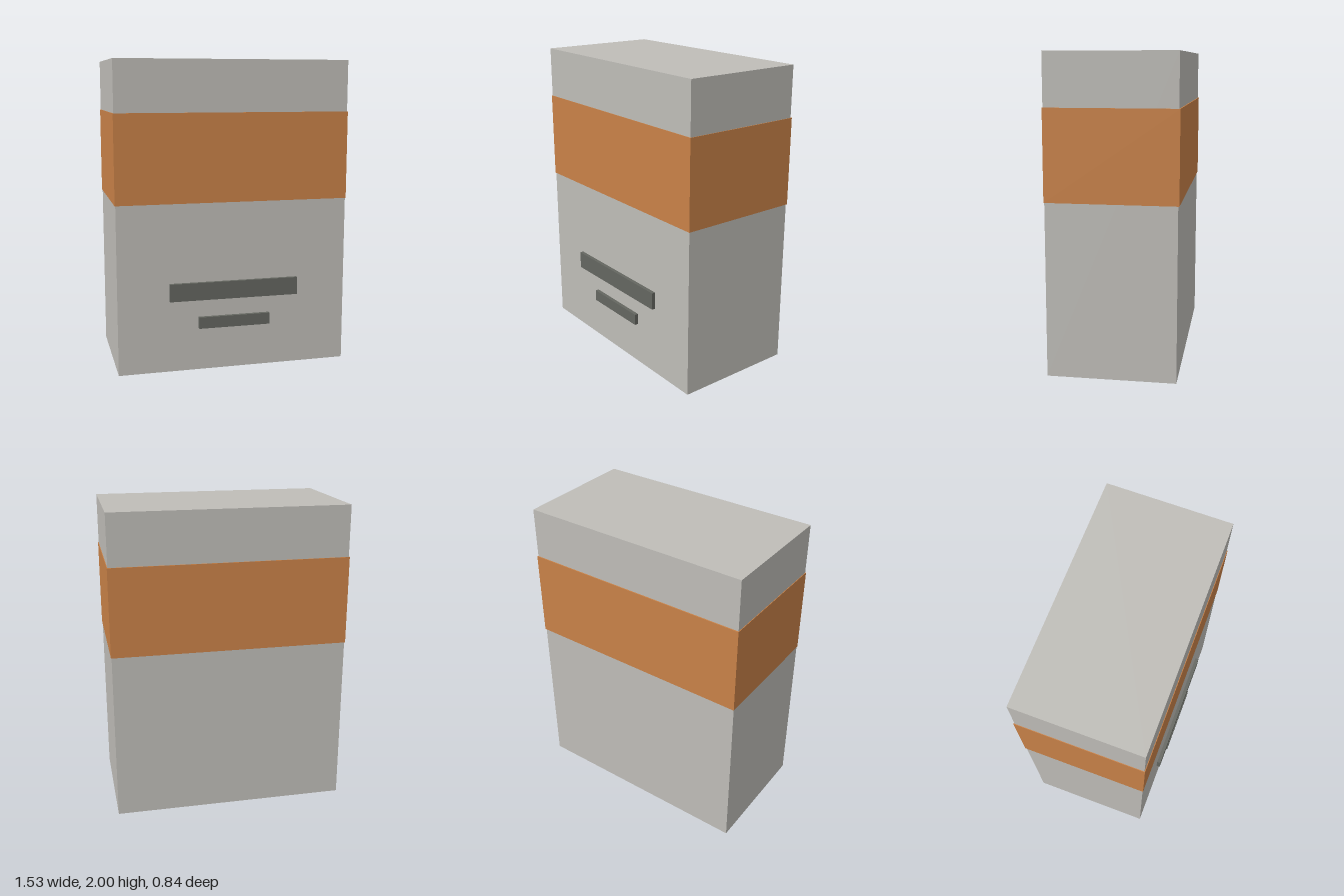
import * as THREE from 'three';

const paint = (name, color) => {
  const material = new THREE.MeshStandardMaterial({ color });
  material.name = name;
  return material;
};

export function createModel() {
  const group = new THREE.Group();
  group.name = 'box';
  const grey = paint('warm grey', 0xbfbdb8);
  const orange = paint('orange', 0xc98248);
  const dark = paint('dark grey', 0x646660);

  // Block given by its half width and its y and z limits
  const block = (name, material, halfWidth, y0, y1, z0, z1) => {
    const mesh = new THREE.Mesh(new THREE.BoxGeometry(2 * halfWidth, y1 - y0, z1 - z0), material);
    mesh.position.set(0, (y0 + y1) / 2, (z0 + z1) / 2);
    mesh.name = name;
    group.add(mesh);
  };

  // Carton and the band wrapped around it
  block('body', grey, 0.761, 0, 2, -0.413, 0.396);
  block('band', orange, 0.765, 1.1, 1.67, -0.42, 0.4);

  // Raised bars on the front
  block('upperBar', dark, 0.427, 0.47, 0.585, 0.39, 0.42);
  block('lowerBar', dark, 0.237, 0.28, 0.355, 0.39, 0.42);

  return group;
}
